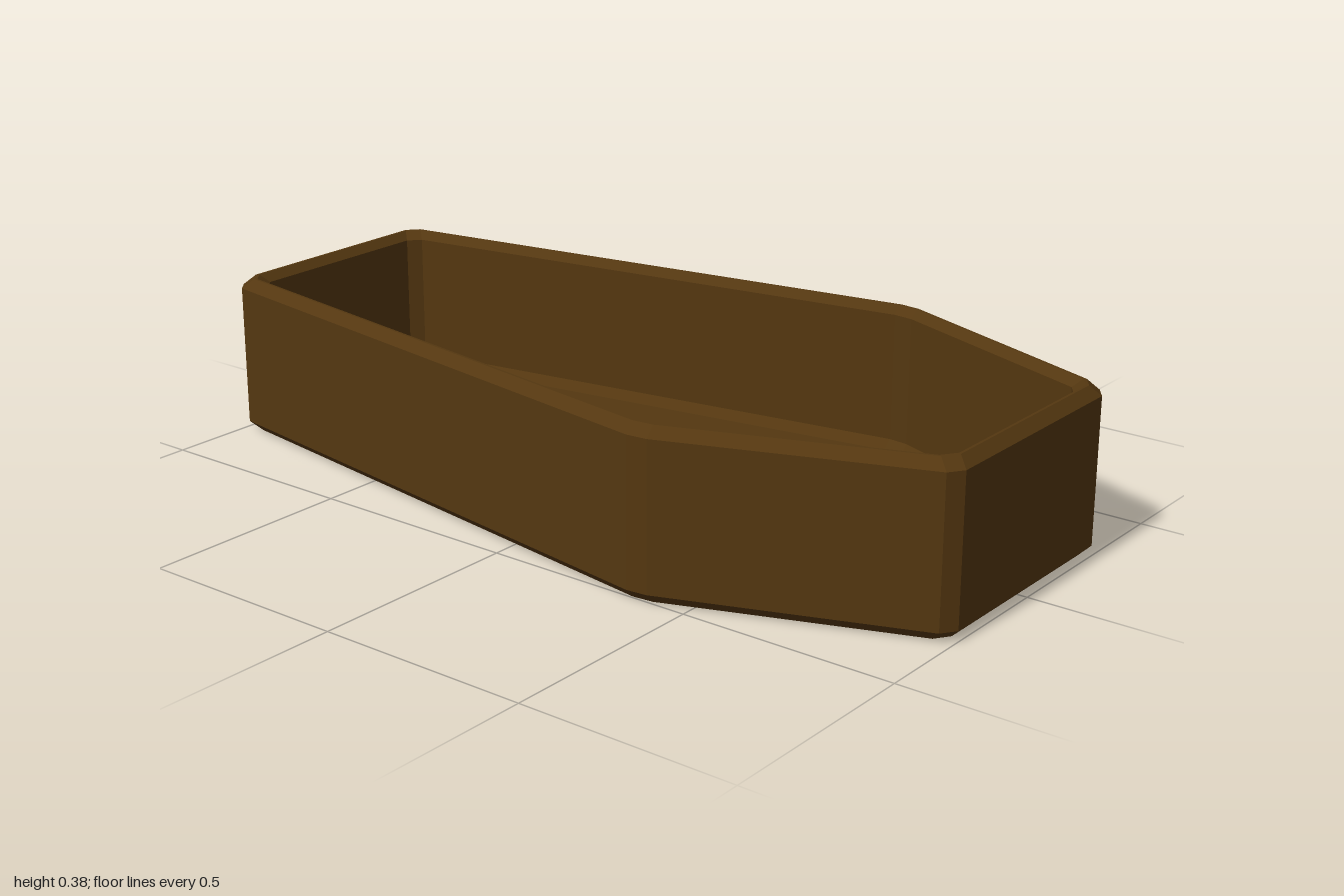
import * as THREE from 'three';

// Sharp-cornered plan of the box as [x, z], running around the outside
const PLAN = [[-1, 0.302], [0.395, 0.524], [1, 0.296], [1, -0.296], [0.395, -0.524], [-1, -0.302]]
  .map(([x, z]) => new THREE.Vector2(x, z));
const CORNER_CUT = 0.025;

// Plan moved inwards by d, with every corner cut off: 12 points at height y
function ring(d, y) {
  const n = PLAN.length;
  const dir = PLAN.map((p, i) => PLAN[(i + 1) % n].clone().sub(p).normalize());
  const points = [];
  PLAN.forEach((p, i) => {
    const a = dir[(i + n - 1) % n], b = dir[i];
    const na = new THREE.Vector2(a.y, -a.x), nb = new THREE.Vector2(b.y, -b.x);
    const corner = p.clone().addScaledVector(na.clone().add(nb), d / (1 + na.dot(nb)));
    for (const [v, s] of [[a, -CORNER_CUT], [b, CORNER_CUT]]) {
      points.push(new THREE.Vector3(corner.x + v.x * s, y, corner.y + v.y * s));
    }
  });
  return points;
}

// Flat-faced skin joining successive rings, closed by a fan at both ends
function loft(rings) {
  const tris = [];
  const n = rings[0].length;
  const fan = (r, flip) => {
    const c = new THREE.Vector3(0, r[0].y, 0);
    for (let i = 0; i < n; i++) {
      const j = (i + 1) % n;
      tris.push(...(flip ? [c, r[j], r[i]] : [c, r[i], r[j]]));
    }
  };
  fan(rings[0], true);
  for (let k = 0; k + 1 < rings.length; k++) {
    const lo = rings[k], hi = rings[k + 1];
    for (let i = 0; i < n; i++) {
      const j = (i + 1) % n;
      tris.push(lo[i], lo[j], hi[j], lo[i], hi[j], hi[i]);
    }
  }
  fan(rings[rings.length - 1], false);
  const geometry = new THREE.BufferGeometry().setFromPoints(tris);
  geometry.computeVertexNormals();
  return geometry;
}

export function createModel() {
  const group = new THREE.Group();
  group.name = 'openCoffin';
  const wood = new THREE.MeshStandardMaterial({ color: 0x543710 });
  wood.name = 'dark wood';

  // [inset, height] from the underside, up the outer wall, over the rim, down to the floor
  const section = [
    [0.024, 0], [0, 0.024], [0, 0.36], [0.023, 0.383],
    [0.029, 0.383], [0.048, 0.364], [0.048, 0.06], [0.066, 0.038],
  ];
  const box = new THREE.Mesh(loft(section.map(([d, y]) => ring(d, y))), wood);
  box.name = 'coffinBox';
  group.add(box);
  return group;
}
